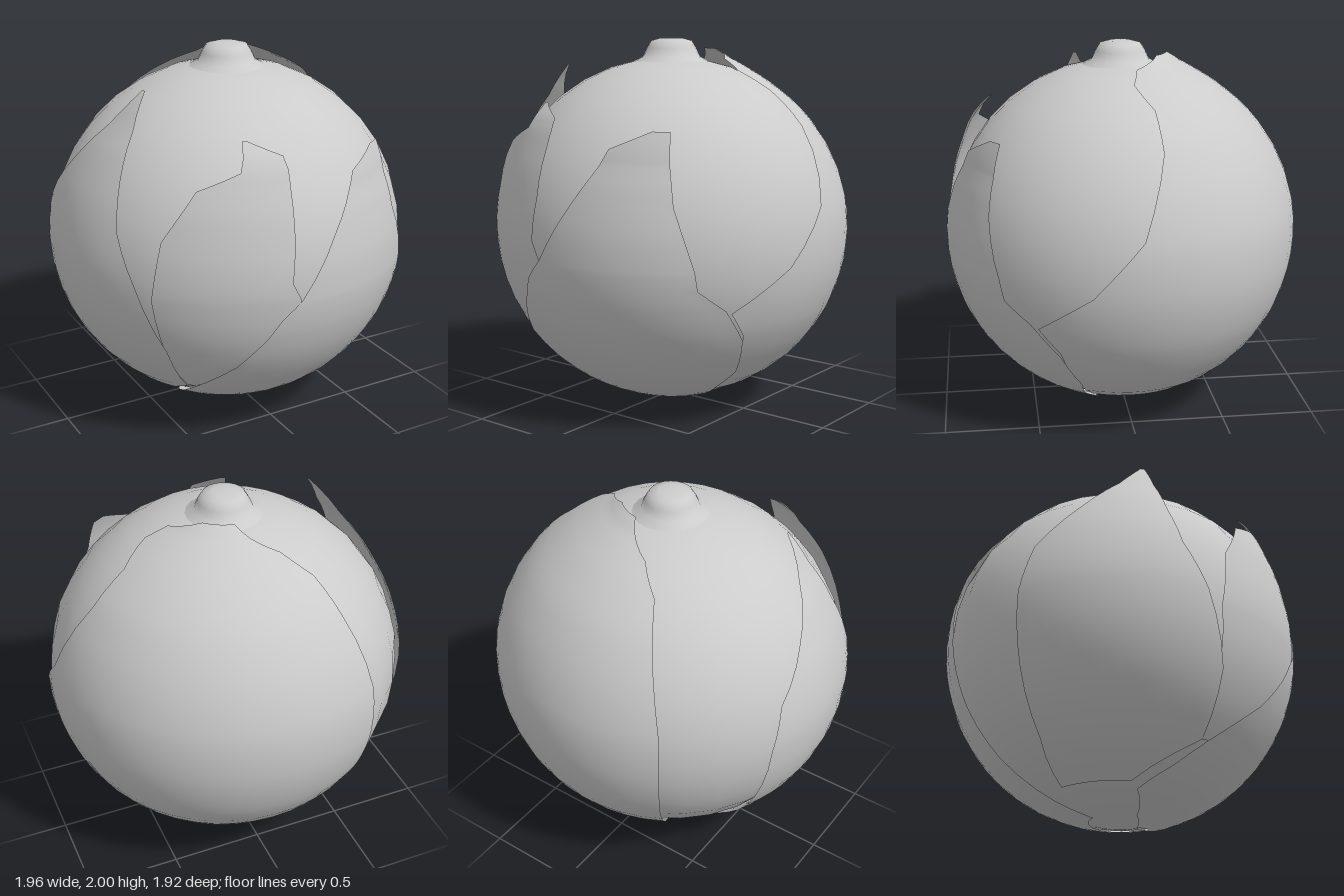
import * as THREE from 'three';

const CENTRE_Y = 0.97;
const RADII = [0.97, 0.94, 0.95];

// Point on the round body: latitude and longitude in degrees (0 = front, 90 = +x), r = relative radius
function bodyPoint(lat, lon, r) {
  const a = THREE.MathUtils.degToRad(lat);
  const o = THREE.MathUtils.degToRad(lon);
  return [
    RADII[0] * r * Math.cos(a) * Math.sin(o),
    CENTRE_Y + RADII[1] * r * Math.sin(a),
    RADII[2] * r * Math.cos(a) * Math.cos(o),
  ];
}

// Leaf of skin lofted through rows of [latitude, start longitude, end longitude, radius], bottom to top
function leafGeometry(rows, columns, sub = 3) {
  const positions = [];
  const index = [];
  const count = (rows.length - 1) * sub;
  for (let i = 0; i <= count; i++) {
    const k = Math.min(Math.floor(i / sub), rows.length - 2);
    const t = i / sub - k;
    const [lat, from, to, r] = rows[k].map((v, n) => THREE.MathUtils.lerp(v, rows[k + 1][n], t));
    for (let j = 0; j <= columns; j++) {
      positions.push(...bodyPoint(lat, THREE.MathUtils.lerp(from, to, j / columns), r));
    }
  }
  const w = columns + 1;
  for (let i = 0; i < count; i++) {
    for (let j = 0; j < columns; j++) {
      const a = i * w + j;
      index.push(a, a + 1, a + w, a + 1, a + w + 1, a + w);
    }
  }
  const geometry = new THREE.BufferGeometry();
  geometry.setAttribute('position', new THREE.Float32BufferAttribute(positions, 3));
  geometry.setIndex(index);
  geometry.computeVertexNormals();
  return geometry;
}

// Overlapping leaves, each with a raised tip
const LEAVES = {
  frontLeaf: [
    [-84, -25, -20, 1.035], [-79, -55, 45, 1.015], [-66, -70, 65, 1.01], [-55, -54, 63, 1.01],
    [-44.6, -43, 66, 1.01], [-28.6, -25, 62, 1.01], [-16.7, -16, 54, 1.01], [-10, -12, 45, 1.01],
    [-4, -6, 44, 1.01], [14.8, 6, 38, 1.01], [26, 14, 37, 1.03], [31, 17, 37, 1.055],
    [36, 31, 37, 1.08],
  ],
  frontRightLeaf: [
    [-45, -46, -42, 1.0], [-23, -49, -16, 1.002], [-4, -51, -6, 1.005], [2, -50, -9, 1.007],
    [15, -48, -8, 1.015], [30, -38, -8, 1.05], [35, -24, -8, 1.07], [39, -23, -9, 1.08],
    [44, -23, -21, 1.08],
  ],
  rightLeaf: [
    [-63, -125, -75, 1.005], [-45, -118, -46, 1.005], [-23, -116, -48, 1.01], [0, -114, -56, 1.015],
    [15, -110, -63, 1.015], [30, -97, -66, 1.025], [45, -83, -68, 1.06], [56, -72, -70, 1.13],
  ],
  backLeaf: [
    [-80, 55, 220, 1.0], [-67, 65, 215, 1.0], [-45, 64, 212, 1.005], [-27, 62, 211, 1.005],
    [-18, 56, 211, 1.005], [-5, 75, 211, 1.007], [12, 90, 211, 1.01], [38, 99, 208, 1.01],
    [53, 100, 207, 1.01], [64, 92, 198, 1.02], [71, 98, 182, 1.035], [76, 133, 170, 1.065],
  ],
};

export function createModel() {
  const model = new THREE.Group();
  const material = new THREE.MeshStandardMaterial({ color: 0xcccccc });
  const thinMaterial = new THREE.MeshStandardMaterial({ color: 0xcccccc, side: THREE.DoubleSide });

  // Round core
  const core = new THREE.Mesh(new THREE.SphereGeometry(0.988, 28, 18), material);
  core.name = 'core';
  core.scale.set(...RADII);
  core.position.y = CENTRE_Y;
  model.add(core);

  // Skin leaves
  for (const [name, rows] of Object.entries(LEAVES)) {
    const columns = name === 'backLeaf' ? 18 : 12;
    const leaf = new THREE.Mesh(leafGeometry(rows, columns), thinMaterial);
    leaf.name = name;
    model.add(leaf);
  }

  // Small knob on top
  const profile = [
    [0.24, 1.855], [0.155, 1.9], [0.135, 1.945], [0.11, 1.985], [0.06, 1.998], [0, 2],
  ].map(([x, y]) => new THREE.Vector2(x, y));
  const knob = new THREE.Mesh(new THREE.LatheGeometry(profile, 20), material);
  knob.name = 'topKnob';
  model.add(knob);

  return model;
}
